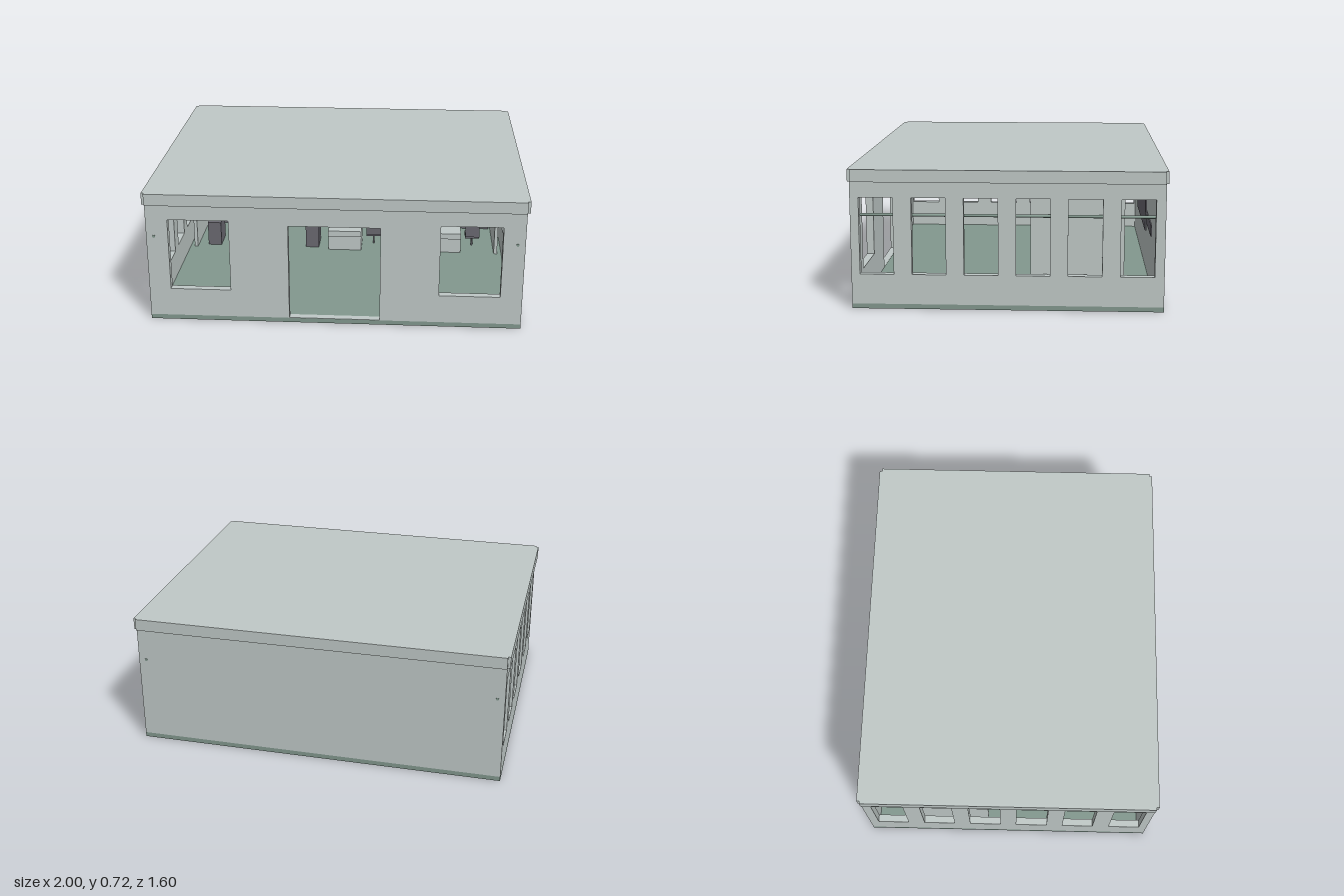
import * as THREE from 'three';

const mat = (name, color) => {
  const m = new THREE.MeshStandardMaterial({ color });
  m.name = name;
  return m;
};

export function createModel() {
  const pale = mat('paleWall', 0xc0c9c7);
  const green = mat('greenFloor', 0x82988e);
  const dark = mat('darkGrey', 0x6a6971);
  const model = new THREE.Group();
  model.name = 'openHall';

  const add = (name, geo, material, parent = model) => {
    const m = new THREE.Mesh(geo, material);
    m.name = name;
    parent.add(m);
    return m;
  };
  // box given by its limits on each axis
  const box = (name, material, x0, x1, y0, y1, z0, z1, parent) => {
    const m = add(name, new THREE.BoxGeometry(x1 - x0, y1 - y0, z1 - z0), material, parent);
    m.position.set((x0 + x1) / 2, (y0 + y1) / 2, (z0 + z1) / 2);
    return m;
  };
  const rect = (Type, x0, x1, y0, y1) => {
    const p = new Type();
    p.moveTo(x0, y0);
    p.lineTo(x1, y0);
    p.lineTo(x1, y1);
    p.lineTo(x0, y1);
    p.closePath();
    return p;
  };
  // wall plate with rectangular openings
  const T = 0.04;
  const wall = (half, openings) => {
    const s = rect(THREE.Shape, -half, half, 0.025, 0.66);
    for (const o of openings) s.holes.push(rect(THREE.Path, ...o));
    return new THREE.ExtrudeGeometry(s, { depth: T, bevelEnabled: false });
  };

  // floor slab
  box('floor', green, -0.985, 0.985, 0, 0.025, -0.79, 0.79);

  // front wall with door and two windows, plain back wall
  add('frontWall', wall(0.985, [
    [-0.87, -0.55, 0.18, 0.575], [-0.24, 0.24, 0.027, 0.555], [0.55, 0.87, 0.18, 0.575],
  ]), pale).position.z = 0.79 - T;
  box('backWall', pale, -0.985, 0.985, 0.025, 0.66, -0.79, -0.79 + T);

  // side walls with six tall windows each
  const windows = [0.66, 0.395, 0.132, -0.13, -0.392, -0.655]
    .map((z) => [-z - 0.086, -z + 0.086, 0.18, 0.575]);
  for (const s of [1, -1]) {
    const w = add('sideWall', wall(0.79 - T, windows), pale);
    w.rotation.y = Math.PI / 2;
    w.position.x = s > 0 ? 0.985 - T : -0.985;
    // tall screen standing behind the windows
    const x = s * 0.91;
    box('sidePartition', pale, x - 0.01, x + 0.01, 0.025, 0.66, -0.59, -0.115);
    // rod running through the wall
    const rod = add('wallRod', new THREE.CylinderGeometry(0.008, 0.008, 1.584, 8), green);
    rod.rotation.x = Math.PI / 2;
    rod.position.set(s * 0.945, 0.48, 0);
  }

  // roof slab with notched corners
  const X = 1, x = 0.985, Z = 0.8, z = 0.785;
  const roof = new THREE.Shape([
    [x, -Z], [x, -z], [X, -z], [X, z], [x, z], [x, Z],
    [-x, Z], [-x, z], [-X, z], [-X, -z], [-x, -z], [-x, -Z],
  ].map((p) => new THREE.Vector2(...p)));
  const roofMesh = add('roof', new THREE.ExtrudeGeometry(roof, { depth: 0.063, bevelEnabled: false }), pale);
  roofMesh.rotation.x = -Math.PI / 2;
  roofMesh.position.y = 0.655;

  // display panels near the back wall
  box('displayBand', dark, -0.67, 0.67, 0.32, 0.38, -0.745, -0.738);
  box('displayScreen', dark, -0.35, 0.35, 0.28, 0.475, -0.738, -0.73);

  // long counter with dark plinth and top
  box('counterPlinth', dark, -0.89, 0.89, 0.025, 0.05, -0.58, -0.5);
  box('counterBody', pale, -0.89, 0.89, 0.05, 0.197, -0.585, -0.495);
  box('counterTop', dark, -0.89, 0.89, 0.197, 0.207, -0.59, -0.485);

  // three seating groups: low table, dark cabinet and pole chair
  for (const cx of [-0.6, 0, 0.6]) {
    const g = new THREE.Group();
    g.name = 'seatingGroup';
    g.position.x = cx;
    model.add(g);
    box('lowTable', pale, -0.1, 0.1, 0.025, 0.115, -0.29, -0.12, g);
    box('tableTop', pale, -0.1, 0.1, 0.115, 0.15, -0.3, -0.11, g);
    box('cabinet', dark, -0.24, -0.16, 0.025, 0.17, -0.3, -0.15, g);
    box('chairSeat', dark, 0.13, 0.215, 0.085, 0.1, -0.29, -0.2, g);
    box('chairBack', dark, 0.13, 0.215, 0.1, 0.18, -0.2, -0.185, g);
    const pole = add('chairPole', new THREE.CylinderGeometry(0.006, 0.006, 0.06, 10), dark, g);
    pole.position.set(0.172, 0.055, -0.24);
  }
  return model;
}
